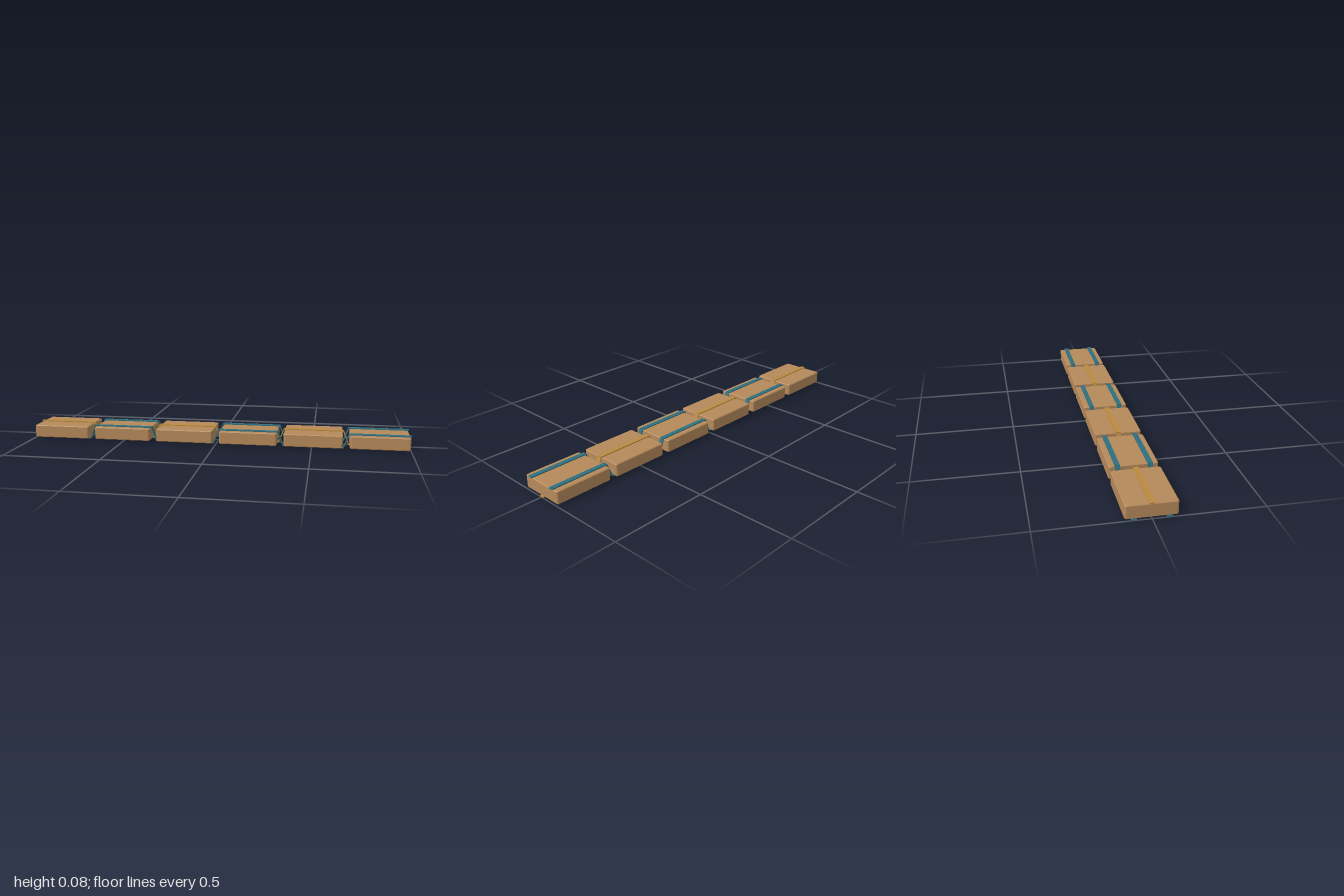
import * as THREE from 'three';

const COUNT = 6, PITCH = 0.338;
const LENGTH = 0.302, DEPTH = 0.232, BOTTOM = 0.005, HEIGHT = 0.066;
const TAPE = 0.005, TAPE_WIDTH = 0.024, TAPE_LENGTH = 0.31;
const LOW = TAPE / 2, HIGH = BOTTOM + HEIGHT + TAPE / 2;

const wood = new THREE.MeshStandardMaterial({ color: 0xb5895a });
const teal = new THREE.MeshStandardMaterial({ color: 0x2f6f7e });
const amber = new THREE.MeshStandardMaterial({ color: 0xb98a3e });

const blockX = (i) => (i - (COUNT - 1) / 2) * PITCH;

// Rounded rectangle extruded upward with a small chamfer
function blockGeometry() {
  const bevel = 0.004, r = 0.007;
  const x = LENGTH / 2 - bevel, y = DEPTH / 2 - bevel;
  const s = new THREE.Shape();
  s.moveTo(-x + r, -y);
  s.lineTo(x - r, -y).quadraticCurveTo(x, -y, x, -y + r);
  s.lineTo(x, y - r).quadraticCurveTo(x, y, x - r, y);
  s.lineTo(-x + r, y).quadraticCurveTo(-x, y, -x, y - r);
  s.lineTo(-x, -y + r).quadraticCurveTo(-x, -y, -x + r, -y);
  const geo = new THREE.ExtrudeGeometry(s, {
    depth: HEIGHT - 2 * bevel, bevelEnabled: true, bevelSize: bevel,
    bevelThickness: bevel, bevelSegments: 1, curveSegments: 3,
  });
  return geo.rotateX(-Math.PI / 2).translate(0, BOTTOM + bevel, 0);
}

// Flat strip between two points in the xy plane
function strip(x0, y0, x1, y1, z, material, name) {
  const length = Math.hypot(x1 - x0, y1 - y0);
  const mesh = new THREE.Mesh(new THREE.BoxGeometry(length, TAPE, TAPE_WIDTH), material);
  mesh.position.set((x0 + x1) / 2, (y0 + y1) / 2, z);
  mesh.rotation.z = Math.atan2(y1 - y0, x1 - x0);
  mesh.name = name;
  return mesh;
}

// Ribbon weaving over and under successive blocks
function ribbon(z, material, startsHigh, name) {
  const group = new THREE.Group();
  group.name = name;
  const level = (i) => ((i % 2 === 0) === startsHigh ? HIGH : LOW);
  const half = TAPE_LENGTH / 2;
  for (let i = 0; i < COUNT; i++) {
    const x = blockX(i), y = level(i);
    group.add(strip(x - half, y, x + half, y, z, material, 'ribbonFlat'));
    if (i < COUNT - 1) {
      group.add(strip(x + half, y, blockX(i + 1) - half, level(i + 1), z, material, 'ribbonCrossing'));
    }
  }
  return group;
}

export function createModel() {
  const model = new THREE.Group();
  model.name = 'ribbonLadder';

  // Row of wooden blocks
  const geo = blockGeometry();
  for (let i = 0; i < COUNT; i++) {
    const block = new THREE.Mesh(geo, wood);
    block.position.x = blockX(i);
    block.name = 'block' + (i + 1);
    model.add(block);
  }

  // Outer pair and central ribbon, woven in opposition
  model.add(ribbon(0.076, teal, false, 'frontRibbon'));
  model.add(ribbon(-0.076, teal, false, 'backRibbon'));
  model.add(ribbon(0, amber, true, 'centreRibbon'));
  return model;
}
